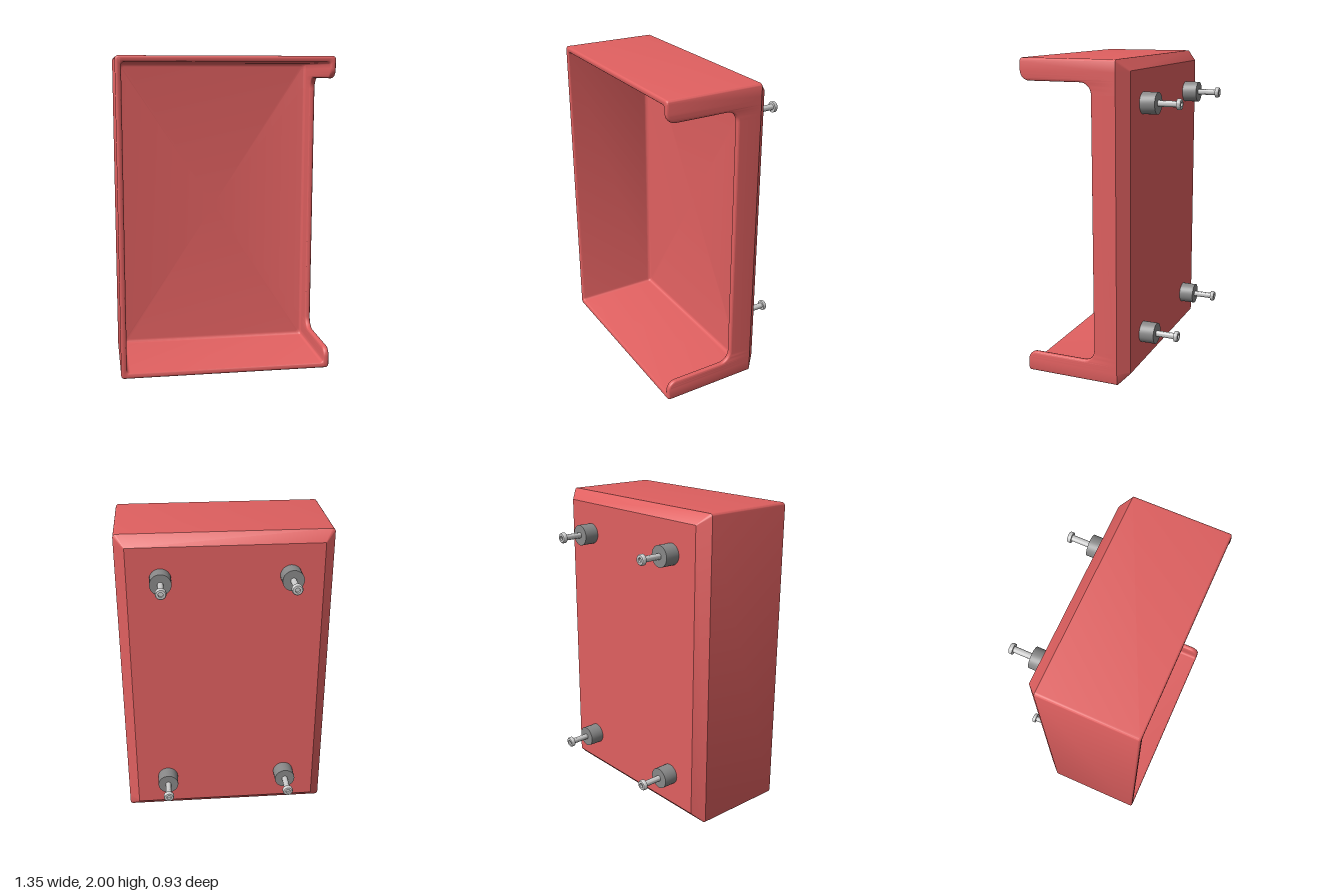
import * as THREE from 'three';
import { toCreasedNormals } from 'three/addons/utils/BufferGeometryUtils.js';

const W = 0.673, H = 1;                     // half width, half height
const FRONT = 0.465, BACK = -0.223, CHAMFER = 0.066, FLOOR = -0.12;
const WALL = 0.037, ROUND = 0.014, FILLET = 0.025, CORNER = 0.02;
const CUT_Z = 0, FLAP = 0.865;              // depth and half height of the side opening

// Half of the side opening's edge, from the front rim down to the opening's base.
// Each sample: y, z and the direction (ny, nz) pointing into the wall.
function openingHalf() {
  const pts = [], n = 8, r = 0.06, R = 0.07;
  for (let i = 0; i <= n; i++) {            // rounded tip of the flap
    const a = (i / n) * Math.PI / 2, s = Math.sin(a), c = Math.cos(a);
    pts.push({ y: -FLAP - r + r * s, z: FRONT - r + r * c, ny: -s, nz: -c });
  }
  for (let i = 0; i <= n; i++) {            // hollow corner at the base
    const a = (i / n) * Math.PI / 2, s = Math.sin(a), c = Math.cos(a);
    pts.push({ y: -FLAP + R - R * c, z: CUT_Z + R - R * s, ny: -c, nz: -s });
  }
  return pts;
}

// Samples once round the tray, counter-clockwise as seen from the front
function outline() {
  const loop = [], n = 5;
  const half = openingHalf();
  const mirrored = half.map(p => ({ ...p, y: -p.y, ny: -p.ny })).reverse();
  [[1, -1], [1, 1], [-1, 1], [-1, -1]].forEach(([sx, sy], k) => {
    for (let i = 0; i <= n; i++) {
      const a = (k - 1 + i / n) * Math.PI / 2;
      loop.push({ sx, sy, a, z: FRONT, ny: 0, nz: -1 });
    }
    if (k === 0) loop.push(...half, ...mirrored);
  });
  return loop;
}

// One cross-section ring: fixed z, or following the rim at distance d below it
function ring(loop, inset, { z, d = ROUND, r = CORNER }) {
  return loop.map(p => {
    const pz = z ?? p.z + d * p.nz;
    if (p.sx) {
      return [p.sx * (W - inset - r) + r * Math.cos(p.a),
        H + p.sy * (H - inset - r) + r * Math.sin(p.a), pz];
    }
    return [W - inset, H + p.y + d * p.ny, pz];
  });
}

function trayGeometry() {
  const loop = outline(), rings = [], steps = 5;
  // Bevelled back and outer wall
  rings.push(ring(loop, CHAMFER, { z: BACK, r: 0.003 }));
  rings.push(ring(loop, 0, { z: BACK + CHAMFER }));
  // Rounded rim
  for (const side of [0, 1]) {
    for (let i = 0; i <= steps; i++) {
      const a = (i / steps) * Math.PI / 2;
      const inset = side ? WALL - ROUND + ROUND * Math.sin(a) : ROUND * (1 - Math.cos(a));
      const d = ROUND * (1 - (side ? Math.cos(a) : Math.sin(a)));
      rings.push(ring(loop, inset, { d }));
    }
  }
  // Fillet between inner walls and floor
  for (let i = 0; i <= steps; i++) {
    const a = (i / steps) * Math.PI / 2;
    rings.push(ring(loop, WALL + FILLET * (1 - Math.cos(a)),
      { z: FLOOR + FILLET * (1 - Math.sin(a)) }));
  }

  const pos = [];
  const A = new THREE.Vector3(), B = new THREE.Vector3(), C = new THREE.Vector3();
  const tri = (a, b, c) => {
    A.set(...a); B.set(...b).sub(A); C.set(...c).sub(A);
    if (B.cross(C).length() > 1e-9) pos.push(...a, ...b, ...c);
  };
  const n = loop.length, last = rings[rings.length - 1];
  for (let j = 0; j < n; j++) {
    const k = (j + 1) % n;
    for (let i = 0; i < rings.length - 1; i++) {
      const a = rings[i], b = rings[i + 1];
      tri(a[j], a[k], b[k]);
      tri(a[j], b[k], b[j]);
    }
    tri([0, H, BACK], rings[0][k], rings[0][j]);
    tri([0, H, FLOOR], last[j], last[k]);
  }
  const g = new THREE.BufferGeometry();
  g.setAttribute('position', new THREE.Float32BufferAttribute(pos, 3));
  return toCreasedNormals(g, 0.5);
}

// Turned part pointing backwards from a profile of [radius, distance]
function turned(profile) {
  const g = new THREE.LatheGeometry(profile.map(p => new THREE.Vector2(...p)), 32);
  g.rotateX(-Math.PI / 2);
  return toCreasedNormals(g, 0.5);
}

export function createModel() {
  const model = new THREE.Group();
  const add = (parent, name, geometry, material) => {
    const mesh = new THREE.Mesh(geometry, material);
    mesh.name = name;
    parent.add(mesh);
  };
  const red = new THREE.MeshStandardMaterial({ color: 0xe06060 });
  const darkGrey = new THREE.MeshStandardMaterial({ color: 0x888888 });
  const grey = new THREE.MeshStandardMaterial({ color: 0xcccccc });

  add(model, 'tray', trayGeometry(), red);

  // Four mounting studs on the back: spacer plus socket-head screw
  const spacer = turned([[0, 0], [0.067, 0], [0.067, 0.096], [0, 0.096]]);
  const screw = turned([[0.019, 0.09], [0.019, 0.218], [0.034, 0.218], [0.034, 0.234],
    [0.032, 0.239], [0.029, 0.242], [0.024, 0.243], [0.015, 0.243], [0.015, 0.228], [0, 0.228]]);
  for (const x of [-0.4, 0.4]) {
    for (const y of [0.27, 1.733]) {
      const stud = new THREE.Group();
      stud.name = 'mountingStud';
      stud.position.set(x, y, BACK);
      add(stud, 'spacer', spacer, darkGrey);
      add(stud, 'screw', screw, grey);
      model.add(stud);
    }
  }
  return model;
}
